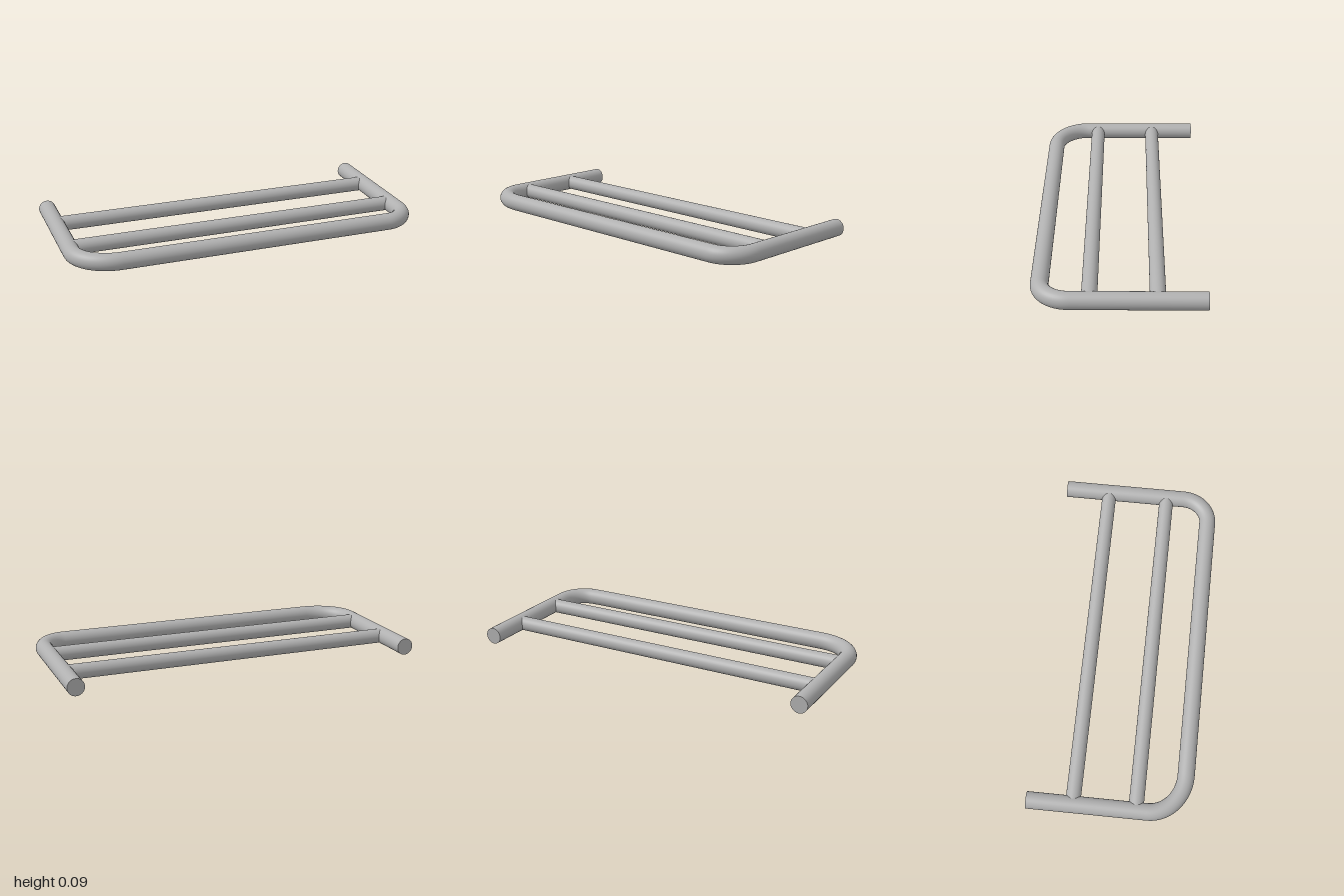
import * as THREE from 'three';

const R = 0.047;          // frame tube radius
const X = 1 - R;          // side arm centre line
const FRONT = 0.45 - R;   // front rail centre line
const BACK = -0.45;

const point = (x, z) => new THREE.Vector3(x, R, z);

// Quarter-ellipse bend from a to b around the corner c
function bend(a, c, b) {
  const k = 0.5523;
  return new THREE.CubicBezierCurve3(a, a.clone().lerp(c, k), b.clone().lerp(c, k), b);
}

export function createModel() {
  const group = new THREE.Group();
  const metal = new THREE.MeshStandardMaterial({ color: 0xb0b0b0 });
  metal.name = 'brushed metal';

  const add = (name, geometry) => {
    const mesh = new THREE.Mesh(geometry, metal);
    mesh.name = name;
    group.add(mesh);
    return mesh;
  };

  // Bent U-shaped frame; the right bend is a little wider than the left one
  const rightArm = point(-X, 0.21), rightRail = point(-0.73, FRONT);
  const leftArm = point(X, 0.25), leftRail = point(0.81, FRONT);
  const path = new THREE.CurvePath();
  path.add(new THREE.LineCurve3(point(-X, BACK), rightArm));
  path.add(bend(rightArm, point(-X, FRONT), rightRail));
  path.add(new THREE.LineCurve3(rightRail, leftRail));
  path.add(bend(leftRail, point(X, FRONT), leftArm));
  path.add(new THREE.LineCurve3(leftArm, point(X, BACK)));
  add('frame', new THREE.TubeGeometry(path, 200, R, 32, false));

  // Flat caps on the wall ends of the arms
  for (const side of [-1, 1]) {
    const cap = add(side < 0 ? 'rightEndCap' : 'leftEndCap', new THREE.CircleGeometry(R, 32));
    cap.rotation.y = Math.PI;
    cap.position.set(side * X, R, BACK);
  }

  // Two cross bars running into the arms
  [['backBar', -0.197], ['middleBar', 0.147]].forEach(([name, z]) => {
    const bar = add(name, new THREE.CylinderGeometry(0.041, 0.041, 2 * X, 32));
    bar.rotation.z = Math.PI / 2;
    bar.position.set(0, R, z);
  });

  return group;
}
